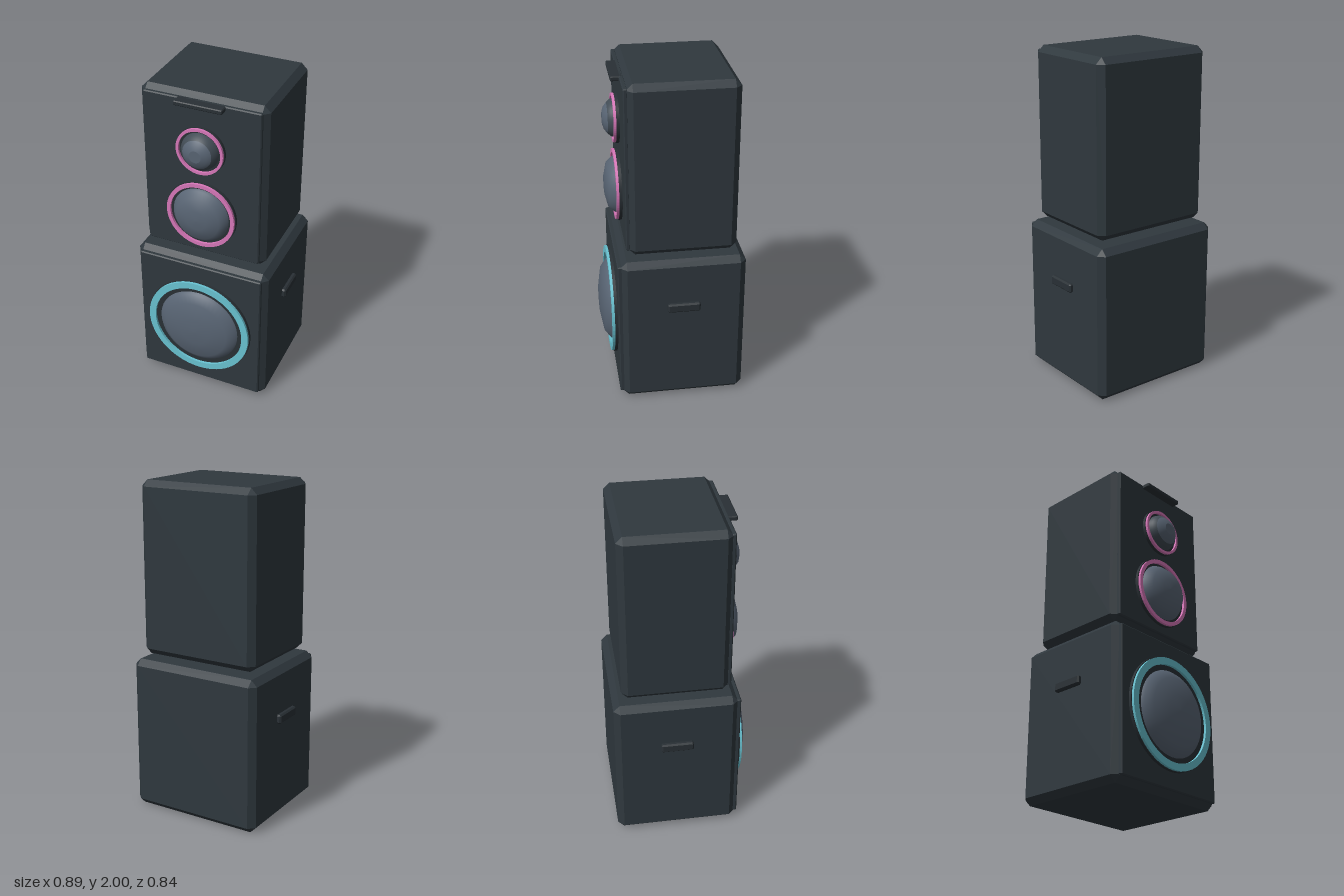
import * as THREE from 'three';
import { ConvexGeometry } from 'three/addons/geometries/ConvexGeometry.js';

const mat = (name, color) => {
  const m = new THREE.MeshStandardMaterial({ color });
  m.name = name;
  return m;
};

// Box with chamfered edges, given by its min and max corners
function chamferBox(min, max, c) {
  const a = new THREE.Vector3(...min), b = new THREE.Vector3(...max);
  const mid = a.clone().add(b).multiplyScalar(0.5);
  const h = b.clone().sub(a).multiplyScalar(0.5);
  const pts = [];
  for (const sx of [-1, 1]) for (const sy of [-1, 1]) for (const sz of [-1, 1]) {
    for (const axis of ['x', 'y', 'z']) {
      const p = new THREE.Vector3(h.x - c, h.y - c, h.z - c);
      p[axis] = h[axis];
      pts.push(p.multiply(new THREE.Vector3(sx, sy, sz)).add(mid));
    }
  }
  return new ConvexGeometry(pts);
}

// Flat ring facing +z
function ringGeometry(outer, inner, depth) {
  const shape = new THREE.Shape().absarc(0, 0, outer, 0, Math.PI * 2, false);
  shape.holes.push(new THREE.Path().absarc(0, 0, inner, 0, Math.PI * 2, true));
  return new THREE.ExtrudeGeometry(shape, { depth, bevelEnabled: false, curveSegments: 32 });
}

// Turned profile of [radius, z] pairs, running from the rim to the centre
function turned(profile) {
  const pts = profile.map(([r, z]) => new THREE.Vector2(r, z));
  return new THREE.LatheGeometry(pts, 48).rotateX(Math.PI / 2);
}

export function createModel() {
  const body = mat('charcoal', 0x2f383e);
  const trim = mat('dark trim', 0x293035);
  const cone = mat('slate cone', 0x586473);
  const surround = mat('grey surround', 0x414b54);
  const cyan = mat('cyan', 0x69c3d2);
  const pink = mat('pink', 0xd877b9);

  const model = new THREE.Group();
  model.name = 'speakerStack';
  const add = (parent, name, geo, material, x = 0, y = 0, z = 0) => {
    const mesh = new THREE.Mesh(geo, material);
    mesh.name = name;
    mesh.position.set(x, y, z);
    parent.add(mesh);
    return mesh;
  };

  // Cabinets and their front panels
  add(model, 'lowerCabinet', chamferBox([-0.42, 0, -0.42], [0.42, 0.94, 0.316], 0.037), body);
  add(model, 'lowerFrontPanel', chamferBox([-0.39, 0.035, 0.3], [0.39, 0.91, 0.333], 0.006), body);
  add(model, 'upperCabinet', chamferBox([-0.38, 0.967, -0.368], [0.38, 2, 0.262], 0.037), body);
  add(model, 'upperFrontPanel', chamferBox([-0.35, 0.997, 0.25], [0.35, 1.973, 0.277], 0.006), body);

  // Small lip above the tweeter
  add(model, 'topLip', chamferBox([-0.143, 1.946, 0.255], [0.143, 1.973, 0.325], 0.005), trim);

  // Side handles
  for (const s of [-1, 1]) {
    const x = [s * 0.41, s * 0.444];
    add(model, s > 0 ? 'leftHandle' : 'rightHandle',
      chamferBox([Math.min(...x), 0.608, -0.148], [Math.max(...x), 0.664, 0.046], 0.009), trim);
  }

  // Drivers: backing disc, coloured ring and domed cone
  const drivers = [
    { name: 'subwoofer', y: 0.47, z: 0.33, disc: 0.335, outer: 0.33, inner: 0.288, accent: cyan,
      dome: [[0.26, 0.015], [0.245, 0.035], [0.2, 0.068], [0.09, 0.088], [0, 0.09]] },
    { name: 'woofer', y: 1.26, z: 0.275, disc: 0.215, outer: 0.21, inner: 0.187, accent: pink,
      dome: [[0.175, 0.015], [0.165, 0.035], [0.133, 0.072], [0.06, 0.09], [0, 0.092]] },
    { name: 'tweeter', y: 1.68, z: 0.275, disc: 0.146, outer: 0.142, inner: 0.126, accent: pink,
      dome: [[0.087, 0.064], [0.065, 0.082], [0.036, 0.091]] },
  ];
  for (const d of drivers) {
    const g = new THREE.Group();
    g.name = d.name;
    g.position.set(0, d.y, d.z);
    model.add(g);
    add(g, 'backingDisc', new THREE.CylinderGeometry(d.disc, d.disc, 0.02, 64).rotateX(Math.PI / 2), trim, 0, 0, 0.01);
    add(g, 'accentRing', ringGeometry(d.outer, d.inner, 0.016), d.accent, 0, 0, 0.019);
    add(g, 'cone', turned(d.dome), cone).material.side = THREE.DoubleSide;
    if (d.name === 'tweeter') {
      add(g, 'coneSurround', turned([[0.114, 0.015], [0.106, 0.045], [0.087, 0.064]]), surround)
        .material.side = THREE.DoubleSide;
      add(g, 'centreCap', new THREE.CircleGeometry(0.036, 32), cone, 0, 0, 0.091);
    }
  }
  return model;
}
